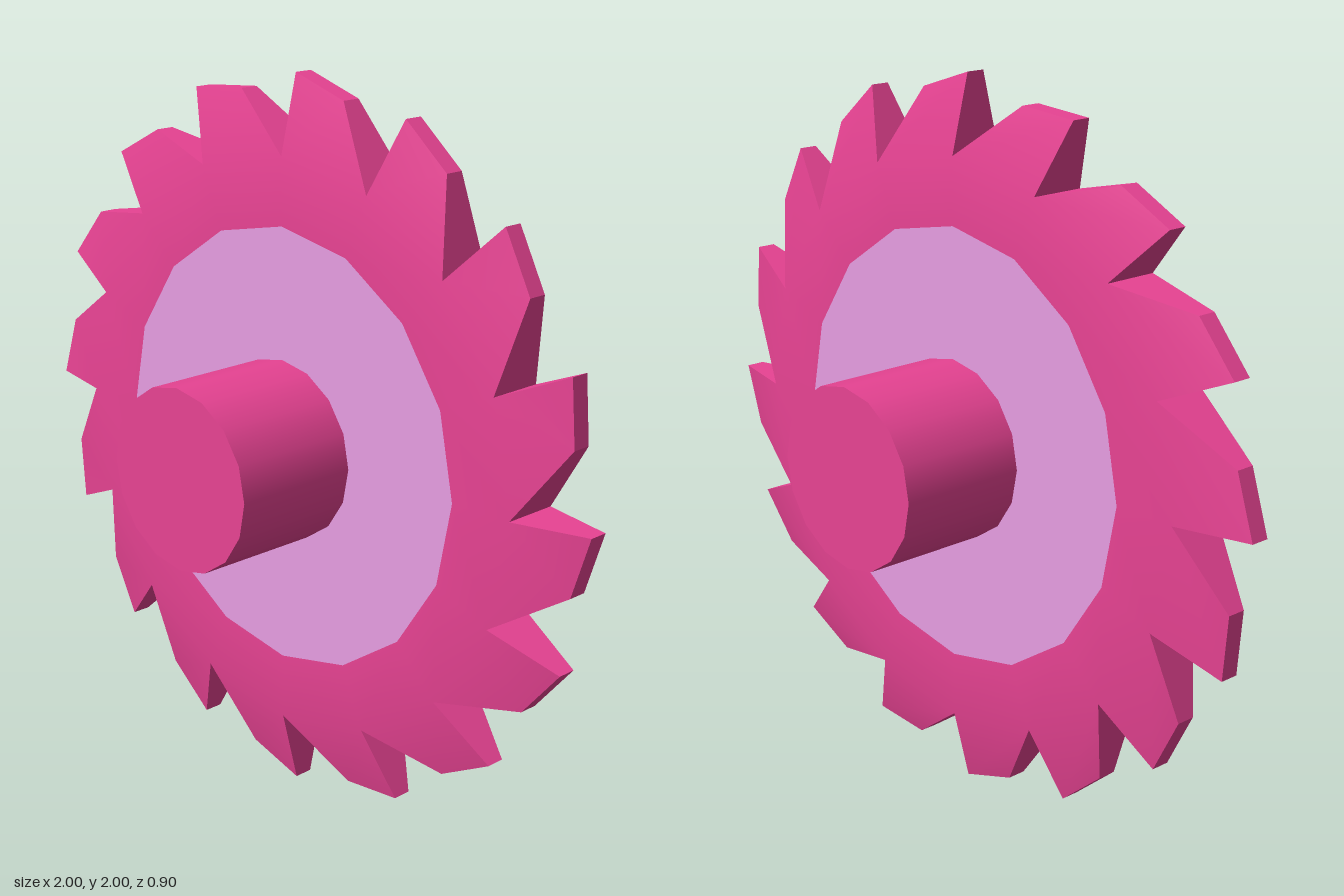
import * as THREE from 'three';
import { toCreasedNormals } from 'three/addons/utils/BufferGeometryUtils.js';

const TEETH = 16, STEP = (Math.PI * 2) / TEETH;
const HALF = 0.08, TIP_HALF = 0.027; // half thickness at the body and at the tooth edge
const PLATE_R = 0.607, ROOT_R = 0.79, HEEL_R = 0.96, HUB_R = 0.248;

// Point at a clockwise turn from the top, measured in teeth
const polar = (turn, r, z) => {
  const a = Math.PI / 2 - turn * STEP;
  return [Math.cos(a) * r, Math.sin(a) * r, z];
};

// Toothed ring: flat annulus plus bevelled saw teeth, closed along the rim
function bladeGeometry() {
  const pos = [];
  const quad = (a, b, c, d) => pos.push(...a, ...b, ...c, ...a, ...c, ...d);
  const back = ([x, y, z]) => [x, y, -z];
  const bothSides = (a, b, c, d) => {
    quad(a, b, c, d);
    quad(back(d), back(c), back(b), back(a));
  };
  for (let i = 0; i < TEETH; i++) {
    const innerA = polar(i, PLATE_R, HALF), innerB = polar(i + 1, PLATE_R, HALF);
    const rootA = polar(i, ROOT_R, HALF), rootB = polar(i + 1, ROOT_R, HALF);
    const tip = polar(i, 1, TIP_HALF), heel = polar(i + 0.455, HEEL_R, TIP_HALF);
    bothSides(innerA, innerB, rootB, rootA);
    bothSides(rootA, rootB, heel, tip);
    // Cutting face, tooth top and sloping back
    const rim = [rootA, tip, heel, rootB];
    for (let k = 0; k < 3; k++) quad(rim[k], rim[k + 1], back(rim[k + 1]), back(rim[k]));
  }
  const g = new THREE.BufferGeometry();
  g.setAttribute('position', new THREE.Float32BufferAttribute(pos, 3));
  return toCreasedNormals(g, Math.PI / 6);
}

export function createModel() {
  const model = new THREE.Group();
  model.name = 'sawWheel';
  const pink = new THREE.MeshStandardMaterial({ color: 0xe84393 });
  const lilac = new THREE.MeshStandardMaterial({ color: 0xe79de2 });

  const add = (name, geometry, material) => {
    const mesh = new THREE.Mesh(geometry, material);
    mesh.name = name;
    mesh.position.y = 1;
    model.add(mesh);
    return mesh;
  };

  add('toothedBlade', bladeGeometry(), pink);

  // Flush inner plate on each side
  for (const side of [1, -1]) {
    const plate = add(side > 0 ? 'frontPlate' : 'backPlate',
      new THREE.RingGeometry(HUB_R * 0.95, PLATE_R, TEETH), lilac);
    plate.position.z = side * HALF;
    if (side < 0) plate.rotation.y = Math.PI;
  }

  // Axle through the centre
  add('axle', new THREE.CylinderGeometry(HUB_R, HUB_R, 0.9, 16).rotateX(Math.PI / 2), pink);

  return model;
}
